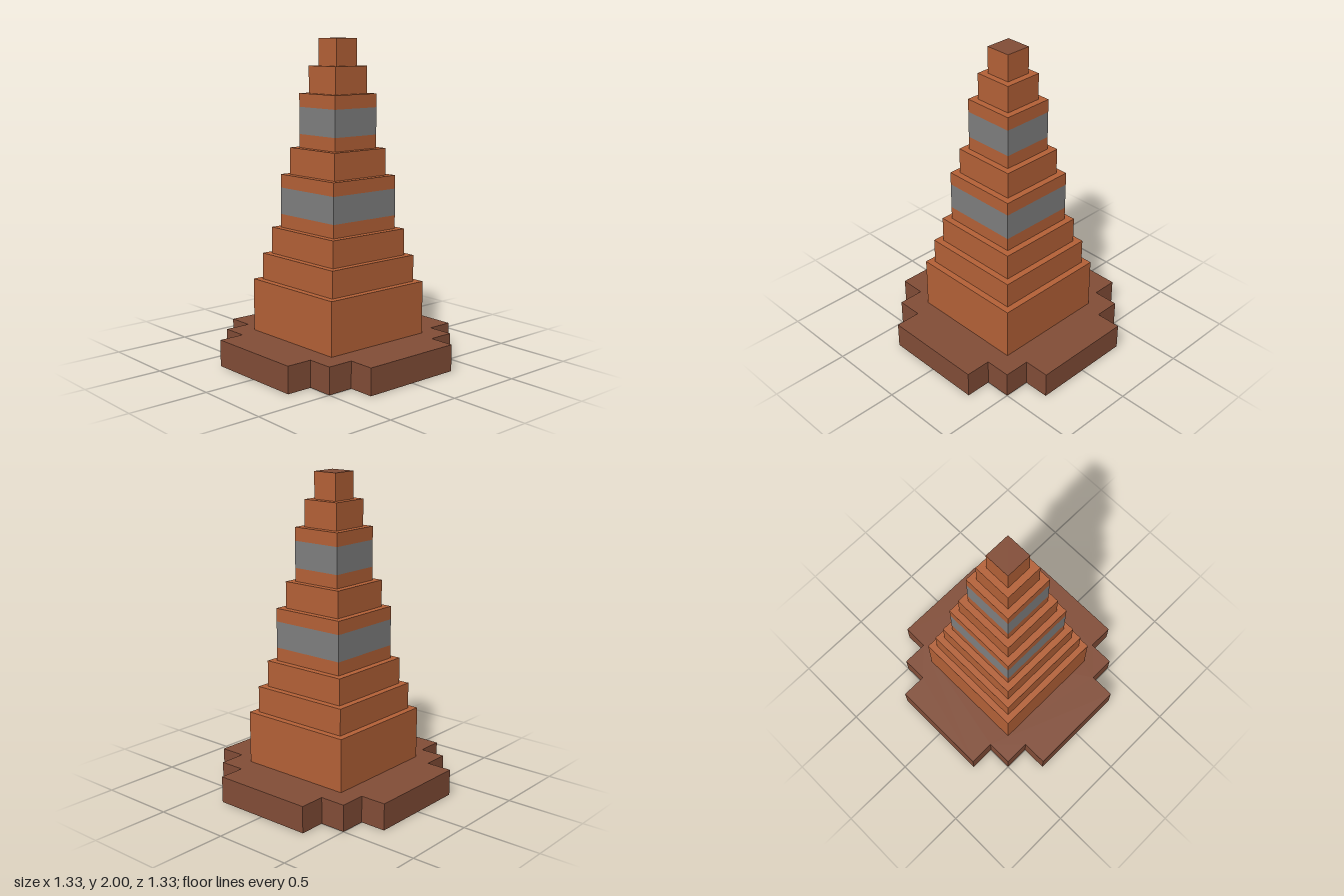
import * as THREE from 'three';

const U = 1 / 24; // modelling grid unit

export function createModel() {
  const material = (name, color) => {
    const m = new THREE.MeshStandardMaterial({ color });
    m.name = name;
    return m;
  };
  const orange = material('orange', 0xb46137);
  const brown = material('brown', 0x824d37);
  const grey = material('grey', 0x7f7f7f);

  const model = new THREE.Group();
  model.name = 'trafficCone';

  // Square block from y0 to y1 with the given half width, in grid units
  const block = (name, half, y0, y1, mat, parent) => {
    const geometry = new THREE.BoxGeometry(2 * half * U, (y1 - y0) * U, 2 * half * U);
    const mesh = new THREE.Mesh(geometry, mat);
    mesh.name = name;
    mesh.position.y = ((y0 + y1) / 2) * U;
    parent.add(mesh);
  };

  // Base plate: one corner's steps, turned around the four quarters
  const corner = [[16, 8], [12, 8], [12, 12], [8, 12], [8, 16]];
  const outline = [];
  for (let q = 0; q < 4; q++) {
    const c = Math.round(Math.cos(q * Math.PI / 2));
    const s = Math.round(Math.sin(q * Math.PI / 2));
    for (const [x, y] of corner) {
      outline.push(new THREE.Vector2((x * c - y * s) * U, (x * s + y * c) * U));
    }
  }
  const baseGeometry = new THREE.ExtrudeGeometry(new THREE.Shape(outline), { depth: 4 * U, bevelEnabled: false });
  baseGeometry.rotateX(-Math.PI / 2);
  const base = new THREE.Mesh(baseGeometry, brown);
  base.name = 'basePlate';
  model.add(base);

  // Stepped body: half width, bottom, top, and whether a grey band runs round it
  const tiers = [
    [9, 4, 12], [8, 12, 16], [7, 16, 20], [6, 20, 28, true],
    [5, 28, 32], [4, 32, 40, true], [3, 40, 44], [2, 44, 48],
  ];
  tiers.forEach(([half, y0, y1, banded], i) => {
    const tier = new THREE.Group();
    tier.name = `tier${i + 1}`;
    model.add(tier);
    if (banded) {
      block('lowerRim', half, y0, y0 + 2, orange, tier);
      block('reflectiveBand', half, y0 + 2, y1 - 2, grey, tier);
      block('upperRim', half, y1 - 2, y1, orange, tier);
    } else {
      // The tip has a brown top face
      const top = i === tiers.length - 1 ? brown : orange;
      block('tierBlock', half, y0, y1, [orange, orange, top, orange, orange, orange], tier);
    }
  });

  return model;
}
